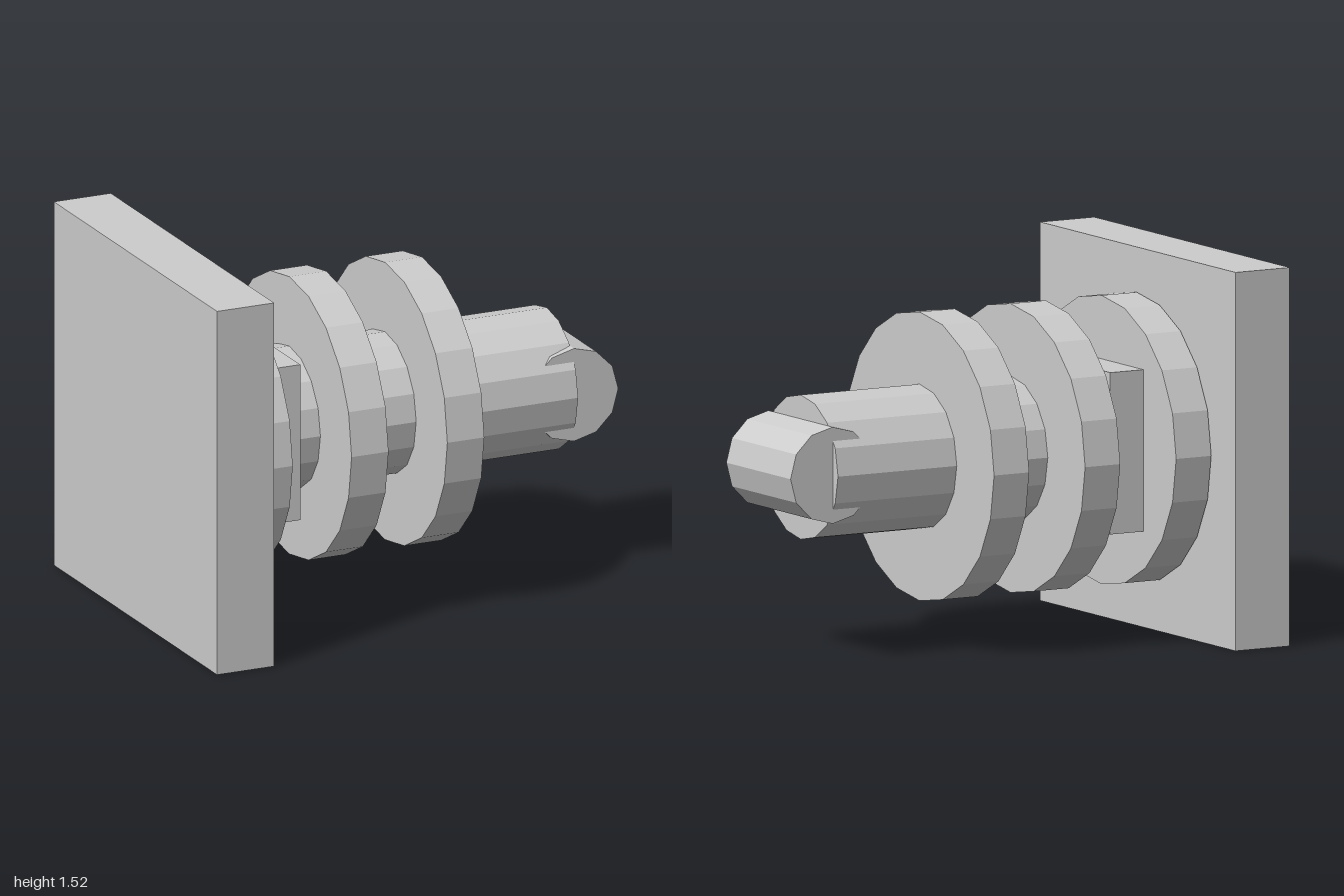
import * as THREE from 'three';

export function createModel() {
  const group = new THREE.Group();
  const grey = new THREE.MeshStandardMaterial({ color: 0xcccccc, flatShading: true });
  grey.name = 'light grey';
  const axisY = 0.76;

  function add(name, geometry, x) {
    const mesh = new THREE.Mesh(geometry, grey);
    mesh.name = name;
    mesh.position.set(x, axisY, 0);
    group.add(mesh);
  }

  // Box centred on the axis, spanning x0..x1
  function block(name, x0, x1, size) {
    add(name, new THREE.BoxGeometry(x1 - x0, size, size), (x0 + x1) / 2);
  }

  // Faceted cylinder lying along x, spanning x0..x1
  function rod(name, x0, x1, radius, sides) {
    const geometry = new THREE.CylinderGeometry(radius, radius, x1 - x0, sides);
    add(name, geometry.rotateZ(-Math.PI / 2), (x0 + x1) / 2);
  }

  // Square mounting plate and the collar in front of it
  block('mountingPlate', -1, -0.75, 1.52);
  block('squareCollar', -0.75, -0.43, 0.65);

  // Central shaft
  rod('shaft', -0.75, 0.805, 0.29, 16);

  // Three evenly spaced discs
  for (let i = 0; i < 3; i++) {
    const x = -0.745 + i * 0.42;
    rod('disc' + (i + 1), x, x + 0.162, 0.58, 20);
  }

  // Cross pin through the tip, lying along z
  const pin = new THREE.CylinderGeometry(0.194, 0.194, 0.5, 12);
  add('crossPin', pin.rotateX(Math.PI / 2), 0.806);

  return group;
}
